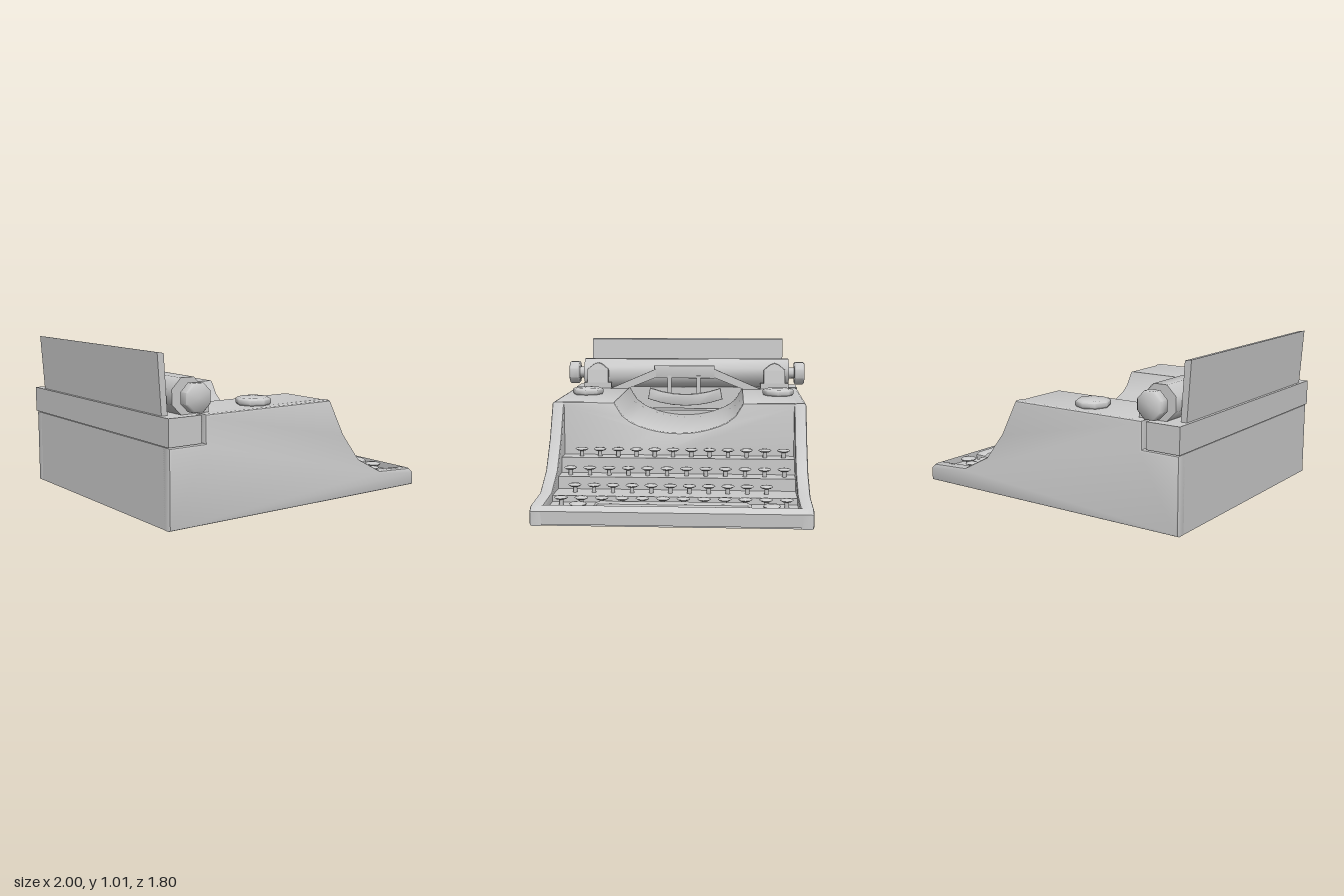
import * as THREE from 'three';
import { toCreasedNormals } from 'three/addons/utils/BufferGeometryUtils.js';

const material = new THREE.MeshStandardMaterial({ color: 0xcccccc });

export function createModel() {
  const model = new THREE.Group();
  model.name = 'typewriter';

  const add = (name, geometry, x = 0, y = 0, z = 0, parent = model) => {
    const mesh = new THREE.Mesh(geometry, material);
    mesh.name = name;
    mesh.position.set(x, y, z);
    parent.add(mesh);
    return mesh;
  };
  const shapeOf = (points) => new THREE.Shape(points.map(([a, b]) => new THREE.Vector2(a, b)));
  const extrude = (points, depth, bevel) => new THREE.ExtrudeGeometry(shapeOf(points), {
    depth: depth - 2 * bevel, bevelEnabled: bevel > 0, bevelSize: bevel,
    bevelThickness: bevel, bevelOffset: -bevel, bevelSegments: 2,
  }).translate(0, 0, bevel);
  // Side profile (x, y) swept from z0 to z1
  const sweepZ = (name, points, z0, z1, bevel = 0) =>
    add(name, toCreasedNormals(extrude(points, z1 - z0, bevel), 0.7), 0, 0, z0);
  // Front section (z, y) swept from x0 to x1
  const sweepX = (name, points, x0, x1, bevel = 0) => {
    const g = extrude(points.map(([z, y]) => [-z, y]), x1 - x0, bevel).rotateY(Math.PI / 2);
    return add(name, toCreasedNormals(g, 0.7), x0);
  };
  const box = (name, x0, x1, y0, y1, z0, z1) =>
    add(name, new THREE.BoxGeometry(x1 - x0, y1 - y0, z1 - z0), (x0 + x1) / 2, (y0 + y1) / 2, (z0 + z1) / 2);
  const lathe = (points, sides = 8) => toCreasedNormals(
    new THREE.LatheGeometry(points.map(([r, y]) => new THREE.Vector2(r, y)), sides), 0.9);

  // Side walls with the sweeping front slope
  const wall = [[-0.99, 0], [1, 0], [1, 0.09], [0.96, 0.12], [0.68, 0.135], [0.48, 0.24],
    [0.34, 0.42], [0.22, 0.65], [-0.74, 0.65], [-0.74, 0.48], [-0.99, 0.48]];
  sweepZ('leftWall', wall, 0.765, 0.845, 0.016);
  sweepZ('rightWall', wall, -0.845, -0.765, 0.016);

  // Main housing with a curved trough in its top
  const trough = [];
  for (let i = 0; i <= 16; i++) {
    const t = i / 8 - 1;
    trough.push([-t * 0.43, 0.445 + 0.125 * t * t + 0.08 * Math.pow(t, 10)]);
  }
  sweepX('housing', [[-0.82, 0], [0.82, 0], [0.82, 0.65], ...trough, [-0.82, 0.65]], -0.74, 0.22, 0.016);
  box('basePlate', -0.985, 0.985, 0, 0.06, -0.83, 0.83);
  box('rearDeck', -0.99, -0.7, 0.001, 0.48, -0.82, 0.82);

  // Stepped keyboard bed and front lip
  sweepZ('keyboardBed', [[0.19, 0.01], [0.995, 0.01], [1, 0.09], [0.96, 0.12], [0.96, 0.075],
    [0.68, 0.075], [0.68, 0.115], [0.475, 0.115], [0.475, 0.195], [0.34, 0.195],
    [0.34, 0.297], [0.19, 0.297]], -0.81, 0.81);

  // Four rows of round keys on stems: x, floor height, count, first z, last z
  const keyTop = lathe([[0, -0.01], [0.03, -0.009], [0.043, 0], [0.036, 0.007], [0, 0.012]]);
  const stem = new THREE.CylinderGeometry(0.014, 0.014, 0.05, 6);
  const rows = [[0.28, 0.297, 12, -0.695, 0.64], [0.41, 0.195, 12, -0.695, 0.695],
    [0.57, 0.115, 11, -0.577, 0.64], [0.76, 0.075, 12, -0.695, 0.695]];
  rows.forEach(([x, y, count, z0, z1], r) => {
    const row = new THREE.Group();
    row.name = `keyRow${r + 1}`;
    model.add(row);
    for (let i = 0; i < count; i++) {
      const z = z0 + (z1 - z0) * i / (count - 1);
      add('keyStem', stem, x, y + 0.022, z, row);
      add('keyTop', keyTop, x, y + 0.047, z, row);
    }
  });

  // Space bar and the two shift keys beside it
  sweepX('spaceBar', [[-0.48, 0.07], [0.47, 0.07], [0.47, 0.11], [0.44, 0.126], [-0.45, 0.126], [-0.48, 0.11]],
    0.84, 0.93, 0.012);
  const shiftKey = lathe([[0.02, -0.04], [0.02, -0.012], [0.045, -0.012], [0.055, 0], [0.045, 0.008], [0, 0.014]]);
  for (const z of [-0.6, 0.57]) add('shiftKey', shiftKey, 0.885, 0.113, z);

  // Ribbon spool covers on the shoulders
  const cover = lathe([[0.1, 0], [0.11, 0.012], [0.11, 0.036], [0.095, 0.047], [0, 0.052]]);
  for (const z of [-0.68, 0.68]) add('spoolCover', cover, -0.27, 0.648, z);

  // Carriage, paper table and roller
  box('carriage', -0.995, -0.77, 0.485, 0.65, -0.845, 0.845);
  sweepZ('paperTable', [[-0.975, 0.64], [-0.935, 0.64], [-0.957, 1.005], [-1, 1.012]], -0.74, 0.745);
  const roller = lathe([[0, -0.78], [0.115, -0.78], [0.115, 0.78], [0, 0.78]]).rotateX(Math.PI / 2);
  roller.rotateZ(Math.PI / 8);
  add('roller', roller, -0.822, 0.757, 0);
  const shaft = new THREE.CylinderGeometry(0.042, 0.042, 0.1, 8).rotateX(Math.PI / 2);
  const knob = lathe([[0, -0.038], [0.08, -0.038], [0.09, -0.028], [0.09, 0.028], [0.08, 0.038], [0, 0.038]])
    .rotateX(Math.PI / 2).rotateZ(Math.PI / 8);
  for (const s of [-1, 1]) {
    add('rollerShaft', shaft, -0.822, 0.757, s * 0.81);
    add('rollerKnob', knob, -0.822, 0.757, s * 0.862);
  }

  // Paper guides: curved plates with peaked tops
  for (const s of [-1, 1]) {
    const c = s * 0.67;
    const guide = sweepX('paperGuide', [[c - 0.08, 0.64], [c + 0.08, 0.64], [c + 0.08, 0.79], [c + 0.03, 0.83],
      [c, 0.84], [c - 0.03, 0.83], [c - 0.08, 0.79]], -0.705, -0.675, 0.005);
    const p = guide.geometry.attributes.position;
    for (let i = 0; i < p.count; i++) {
      const y = p.getY(i);
      p.setX(i, p.getX(i) - 0.03 * Math.max(0, (y - 0.7) / 0.14));
    }
    guide.geometry.computeVertexNormals();
    box('guideFoot', -0.72, -0.672, 0.645, 0.69, c - 0.105, c + 0.105);
  }

  // Ribbon guide: crossbar with sloping arms and two posts
  sweepX('ribbonCrossbar', [[-0.22, 0.73], [0.235, 0.73], [0.235, 0.825], [-0.22, 0.825]], -0.66, -0.635, 0.004);
  for (const s of [-1, 1]) {
    const arm = [[0.22, 0.735], [0.46, 0.64], [0.59, 0.64], [0.22, 0.80]].map(([z, y]) => [s * z, y]);
    sweepX('ribbonArm', s > 0 ? arm : arm.reverse(), -0.65, -0.63);
  }
  for (const z of [-0.1, 0.12]) box('ribbonPost', -0.648, -0.625, 0.59, 0.75, z - 0.015, z + 0.015);

  // Curved type segment hanging below the crossbar
  const band = [];
  for (let i = 0; i <= 6; i++) {
    const t = i / 3 - 1;
    band.push([t * 0.28, 0.525 + 0.05 * t * t]);
  }
  for (let i = 6; i >= 0; i--) {
    const t = i / 3 - 1;
    band.push([t * 0.265, 0.61 + 0.048 * t * t]);
  }
  sweepX('typeSegment', band, -0.645, -0.612, 0.006);

  return model;
}
